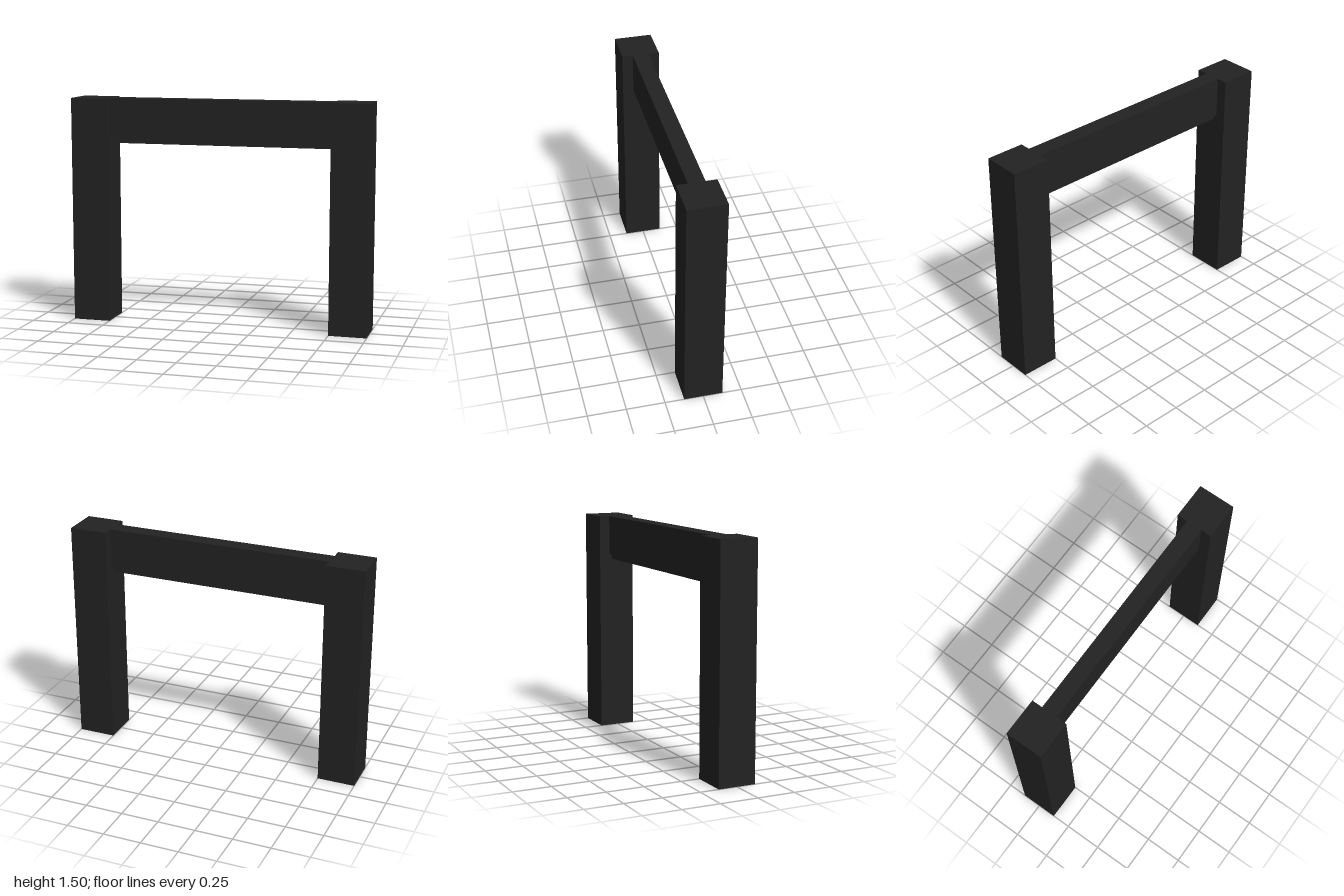
import * as THREE from 'three';

const LEG = 0.25, HEIGHT = 1.5, SPAN = 1.5;

// Box with its underside left open
function openBottomBox(w, h, d) {
  const geometry = new THREE.BoxGeometry(w, h, d);
  const index = Array.from(geometry.index.array);
  index.splice(18, 6);
  geometry.setIndex(index);
  geometry.clearGroups();
  return geometry;
}

export function createModel() {
  const group = new THREE.Group();
  group.name = 'gateFrame';
  const material = new THREE.MeshStandardMaterial({ color: 0x222222 });
  const hollowMaterial = new THREE.MeshStandardMaterial({ color: 0x222222, side: THREE.DoubleSide });

  const add = (name, geometry, mat, x, y) => {
    const mesh = new THREE.Mesh(geometry, mat);
    mesh.name = name;
    mesh.position.set(x, y, 0);
    group.add(mesh);
  };

  // Hollow square posts, open at the foot
  for (const [name, side] of [['leftPost', 1], ['rightPost', -1]]) {
    add(name, openBottomBox(LEG, HEIGHT, LEG), hollowMaterial, side * (SPAN + LEG) / 2, HEIGHT / 2);
  }

  // Crossbeam flush with the post tops
  add('crossbeam', new THREE.BoxGeometry(SPAN, 0.27, 0.107), material, 0, 1.365);

  // Narrower strip set into the underside of the beam
  add('undersideStrip', new THREE.BoxGeometry(SPAN - 0.014, 0.03, 0.076), material, 0, 1.215);

  return group;
}
